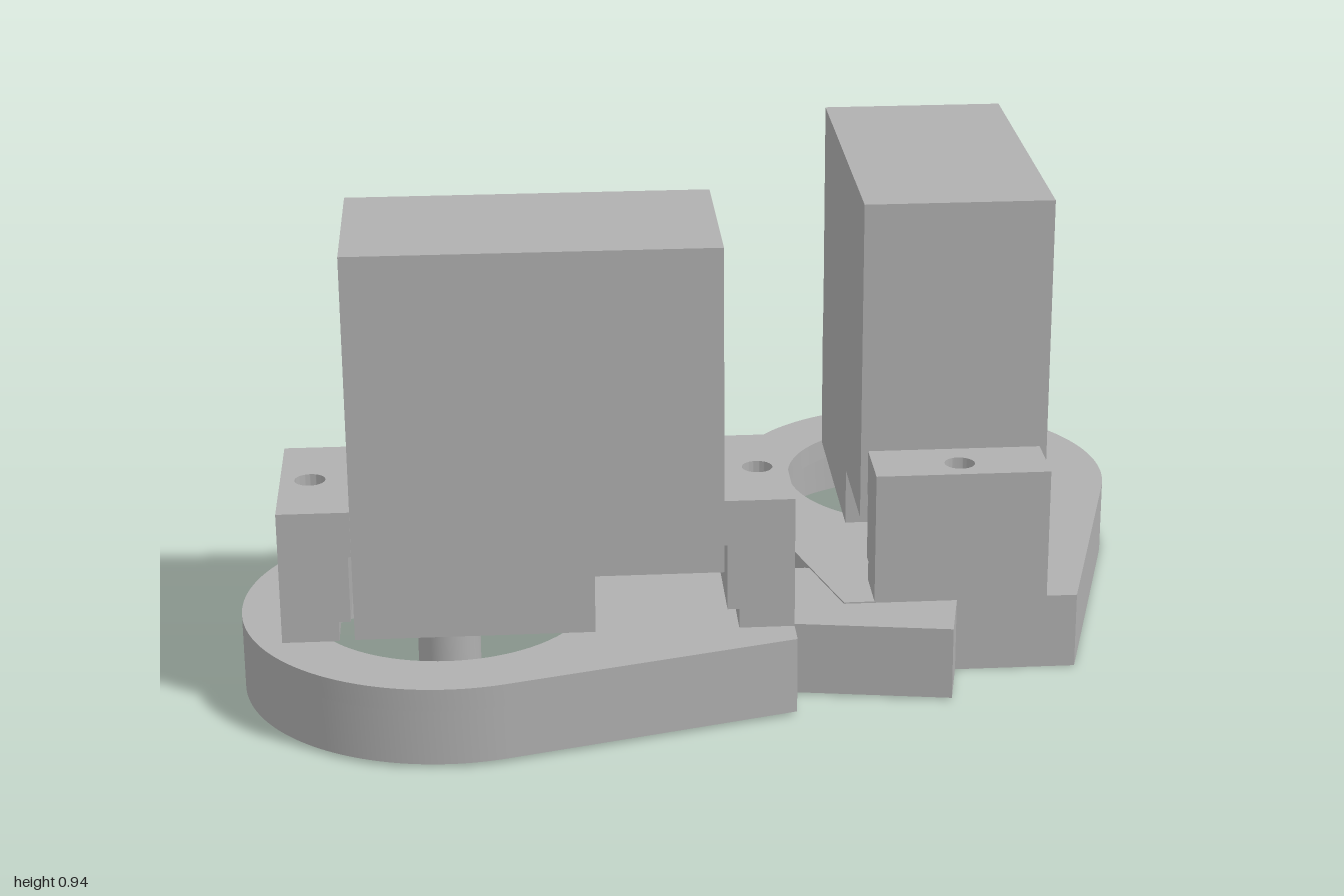
import * as THREE from 'three';
import { toCreasedNormals } from 'three/addons/utils/BufferGeometryUtils.js';

const grey = new THREE.MeshStandardMaterial({ color: 0xb0b0b0 });
grey.name = 'plain grey';

function add(parent, name, geometry) {
  const mesh = new THREE.Mesh(geometry, grey);
  mesh.name = name;
  parent.add(mesh);
  return mesh;
}

// Extrudes a plan outline upwards from y0 to y1
function slab(shape, y0, y1) {
  const g = new THREE.ExtrudeGeometry(shape, { depth: y1 - y0, bevelEnabled: false, curveSegments: 48 });
  g.rotateX(-Math.PI / 2);
  g.translate(0, y0, 0);
  return toCreasedNormals(g, 0.4);
}

function hole(shape, x, y, r) {
  const path = new THREE.Path();
  path.absarc(x, y, r, 0, Math.PI * 2, true);
  shape.holes.push(path);
  return shape;
}

function rect(x0, x1, w) {
  return new THREE.Shape([[x0, -w], [x1, -w], [x1, w], [x0, w]].map(p => new THREE.Vector2(...p)));
}

// Round plate tapering along tangents to a straight front edge
function plateShape(boreRadius) {
  const r = 0.405, fx = 0.673, fy = 0.234;
  const a = Math.atan2(fy, fx) + Math.acos(r / Math.hypot(fx, fy));
  const s = new THREE.Shape();
  s.moveTo(fx, -fy);
  s.lineTo(fx, fy);
  s.absarc(0, 0, r, a, Math.PI * 2 - a, false);
  s.closePath();
  return hole(s, 0, 0, boreRadius);
}

// Mounting block: inner is the side against the motor body, with a stepped foot and a blind screw hole
function mountBlock(parent, name, inner, outer, screw) {
  const block = new THREE.Group();
  block.name = name;
  const dir = Math.sign(outer - inner), w = 0.173;
  const span = inset => {
    const i = inner + dir * inset;
    return rect(Math.min(i, outer), Math.max(i, outer), w);
  };
  add(block, 'blockFoot', slab(span(0.03), 0.155, 0.195));
  add(block, 'blockMiddle', slab(span(0.007), 0.195, 0.33));
  add(block, 'blockTop', slab(hole(span(0.001), screw, 0, 0.03), 0.33, 0.422));
  parent.add(block);
}

function motorUnit(name) {
  const unit = new THREE.Group();
  unit.name = name;

  // Base plate with a counterbore underneath
  add(unit, 'plateLower', slab(plateShape(0.34), 0, 0.11));
  add(unit, 'plateLip', slab(plateShape(0.28), 0.11, 0.155));

  // Motor body, cut away beneath its front end
  const side = new THREE.Shape([
    [-0.178, 0.163], [0.285, 0.163], [0.285, 0.28], [0.535, 0.28], [0.535, 0.936], [-0.178, 0.936],
  ].map(p => new THREE.Vector2(...p)));
  const body = new THREE.ExtrudeGeometry(side, { depth: 0.375, bevelEnabled: false });
  body.translate(0, 0, -0.1875);
  add(unit, 'motorBody', body);

  // Output shaft in the middle of the bore
  add(unit, 'shaft', new THREE.CylinderGeometry(0.062, 0.062, 0.14, 40)).position.y = 0.1;

  mountBlock(unit, 'frontMount', 0.535, 0.673, 0.614);
  mountBlock(unit, 'rearMount', -0.178, -0.318, -0.26);
  return unit;
}

export function createModel() {
  const model = new THREE.Group();
  model.name = 'twinMotorMount';

  // Two identical units a quarter turn apart
  const angle = -0.546;
  [['rightUnit', -0.595, 0.007, angle], ['leftUnit', 0.595, 0, angle - Math.PI / 2]].forEach(([name, x, y, turn]) => {
    const unit = motorUnit(name);
    unit.position.set(x, y, -0.15);
    unit.rotation.y = turn;
    model.add(unit);
  });

  // Tab joining the two plates at the front
  const tab = new THREE.Shape([
    [-0.1, -0.315], [0.145, -0.525], [0.24, -0.42], [0.33, -0.32], [0.09, -0.115], [0.065, -0.1], [0.03, -0.115],
  ].map(p => new THREE.Vector2(...p)));
  add(model, 'joiningTab', slab(tab, 0.004, 0.152));
  return model;
}
